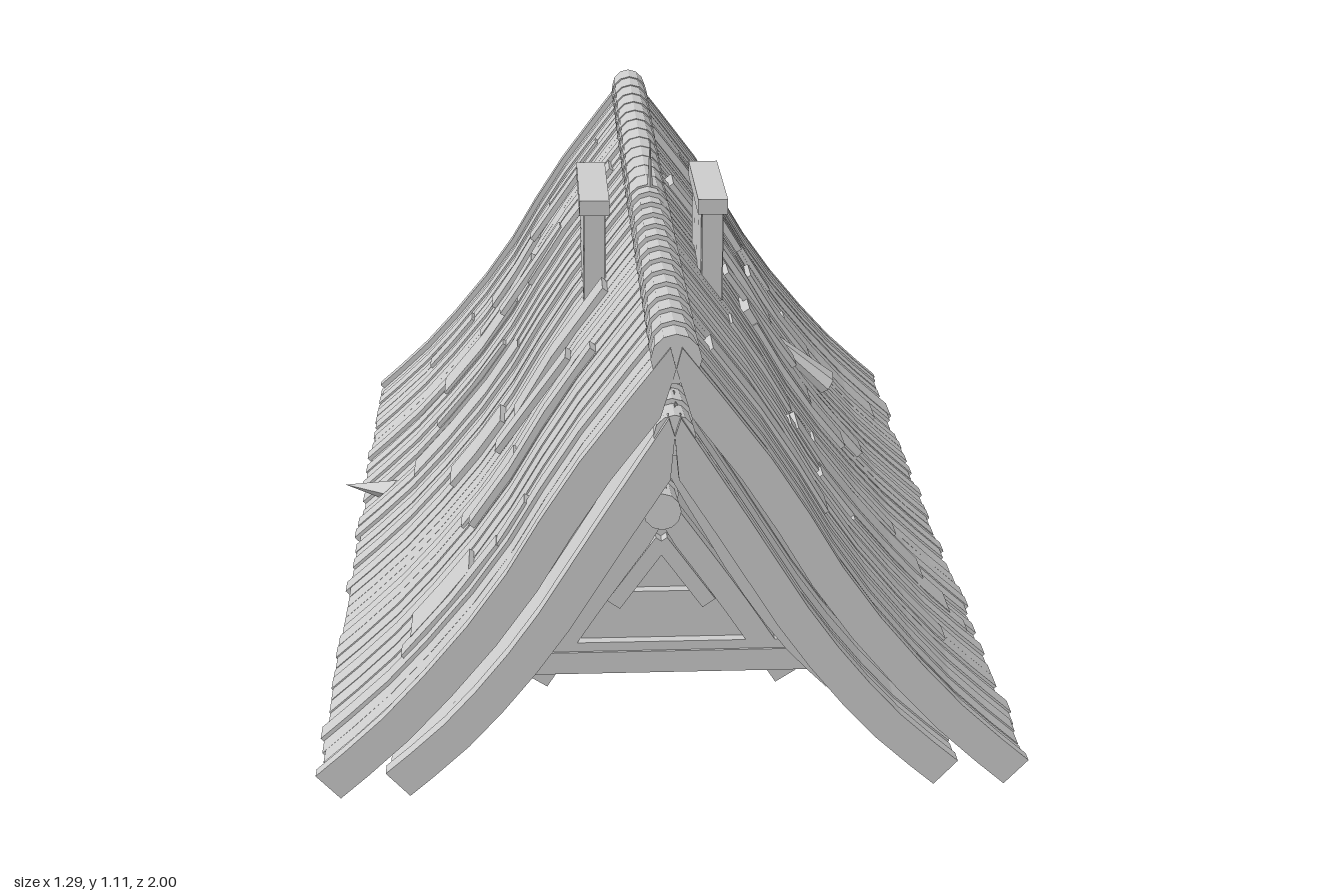
import * as THREE from 'three';
import { mergeGeometries } from 'three/addons/utils/BufferGeometryUtils.js';

const mat = new THREE.MeshStandardMaterial({ color: 0xcccccc, flatShading: true, side: THREE.DoubleSide });

let seed = 7;
const rnd = (a = 0, b = 1) => {
  seed = (seed * 16807) % 2147483647;
  return a + (b - a) * (seed / 2147483647);
};

// outer slope curves, ridge to eave, for the three nested roofs
const OUTER = [[0, 1.0], [0.17, 0.775], [0.31, 0.55], [0.48, 0.345], [0.62, 0.215]];
const MIDDLE = [[0, 0.865], [0.13, 0.66], [0.25, 0.47], [0.38, 0.31], [0.5, 0.2]];
const INNER = [[0, 0.73], [0.09, 0.58], [0.17, 0.44], [0.26, 0.31], [0.345, 0.22]];
const HUT = [[0, 0.56], [0.14, 0.36], [0.25, 0.19]];

// a bent plank: the slope curve pushed out along its normal and given thickness
function slopePlank(pts, side, top, bottom, z, width, from = 0, to = 1) {
  const curve = new THREE.SplineCurve(pts.map(p => new THREE.Vector2(...p)));
  const n = Math.max(2, Math.round(9 * (to - from)));
  const upper = [], lower = [];
  for (let i = 0; i <= n; i++) {
    const t = from + ((to - from) * i) / n;
    const p = curve.getPoint(Math.min(t, 1)), d = curve.getTangent(Math.min(t, 1));
    p.addScaledVector(d, Math.max(0, t - 1) * 0.9);
    const place = o => new THREE.Vector2(side * Math.max(0, p.x - d.y * o), p.y + d.x * o);
    upper.push(place(top));
    lower.unshift(place(bottom));
  }
  const g = new THREE.ExtrudeGeometry(new THREE.Shape([...upper, ...lower]), { depth: width, bevelEnabled: false });
  return g.translate(0, 0, z - width / 2);
}

function box(w, h, d, x, y, z, rx = 0, ry = 0, rz = 0) {
  const g = new THREE.BoxGeometry(w, h, d).toNonIndexed();
  return g.rotateX(rx).rotateY(ry).rotateZ(rz).translate(x, y, z);
}

function add(group, name, geos) {
  const mesh = new THREE.Mesh(geos.length > 1 ? mergeGeometries(geos) : geos[0], mat);
  mesh.name = name;
  group.add(mesh);
}

// row of uneven planks covering both slopes
function planks(pts, half, count, rough, thick) {
  const out = [], w = (2 * half) / count;
  for (const s of [-1, 1])
    for (let i = 0; i < count; i++) {
      const z = -half + w * (i + 0.5);
      out.push(slopePlank(pts, s, rnd(0, rough), -thick, z, w, 0, 1 + rnd(-0.015, 0.012)));
    }
  return out;
}

// pair of rafters meeting at the ridge, at each end of a roof
function rafters(pts, half, top, bottom, width) {
  const out = [];
  for (const s of [-1, 1])
    for (const e of [-1, 1]) out.push(slopePlank(pts, s, top, bottom, e * (half - width / 2), width));
  return out;
}

// overlapping, slightly tilted ridge tiles with a sagging middle
function ridge(y, half, count, r, sag) {
  const out = [], w = (2 * half) / count;
  for (let i = 0; i < count; i++) {
    const z = -half + w * (i + 0.5);
    const g = new THREE.CylinderGeometry(r, r * 0.88, w * 1.03, 12).toNonIndexed();
    g.rotateX(Math.PI / 2 + (z < 0 ? 0.06 : -0.06));
    out.push(g.translate(0, y - sag * (1 - (z / half) ** 2), z));
  }
  return out;
}

export function createModel() {
  const model = new THREE.Group();
  model.name = 'gableRoof';

  // outer roof
  add(model, 'outerPlanks', planks(OUTER, 0.985, 44, 0.011, 0.025));
  add(model, 'outerRafters', rafters(OUTER, 1, 0.012, -0.05, 0.025));
  add(model, 'outerRidge', ridge(0.985, 0.995, 26, 0.043, 0.015));

  // a second, partial layer of split boards
  const loose = [];
  for (const s of [-1, 1])
    for (let i = 0; i < 16; i++) {
      const a = rnd(0.05, 0.6), z = rnd(-0.9, 0.9);
      loose.push(slopePlank(OUTER, s, rnd(0.013, 0.02), 0, z, rnd(0.03, 0.1), a, Math.min(0.99, a + rnd(0.15, 0.4))));
    }
  // lifted boards and one broken point at the eave
  loose.push(box(0.26, 0.012, 0.06, 0.24, 0.7, -0.07, 0, 0.05, -0.96));
  loose.push(box(0.24, 0.012, 0.05, -0.24, 0.7, -0.42, 0, 0.08, 0.96));
  loose.push(box(0.24, 0.012, 0.05, -0.24, 0.7, 0.42, 0, -0.08, 0.96));
  loose.push(box(0.2, 0.012, 0.05, -0.18, 0.79, -0.64, 0, 0.05, 0.95));
  loose.push(new THREE.ConeGeometry(0.03, 0.12, 4).toNonIndexed().rotateZ(1.4).translate(-0.6, 0.265, -0.2));
  const curl = new THREE.ConeGeometry(0.05, 0.28, 7).toNonIndexed().scale(0.5, 1, 1);
  loose.push(curl.rotateZ(0.85).translate(0.3, 0.585, -0.22));
  for (const g of loose) g.deleteAttribute('uv');
  add(model, 'looseBoards', loose);

  // middle roof, just inside the outer one
  add(model, 'middlePlanks', planks(MIDDLE, 0.95, 30, 0.008, 0.02));
  add(model, 'middleRafters', rafters(MIDDLE, 0.97, 0.012, -0.05, 0.03));
  add(model, 'middleRidge', ridge(0.835, 0.96, 24, 0.036, 0));

  // inner roof, shorter
  add(model, 'innerPlanks', planks(INNER, 0.62, 20, 0.008, 0.018));
  add(model, 'innerRafters', rafters(INNER, 0.64, 0.01, -0.045, 0.035));
  add(model, 'innerRidge', ridge(0.7, 0.63, 16, 0.034, 0));

  // small enclosed loft with gable walls and its own rafters
  const tri = new THREE.Shape([[-0.235, 0.22], [0.235, 0.22], [0, 0.55]].map(p => new THREE.Vector2(...p)));
  add(model, 'loftBody', [new THREE.ExtrudeGeometry(tri, { depth: 1.08, bevelEnabled: false }).translate(0, 0, -0.54)]);
  add(model, 'loftRafters', rafters(HUT, 0.58, 0.012, -0.035, 0.04));
  add(model, 'loftRidge', ridge(0.535, 0.59, 14, 0.036, 0));
  const trim = [];
  for (const e of [-1, 1]) {
    const z = e * 0.55;
    trim.push(box(0.38, 0.1, 0.02, 0, 0.31, z));
    for (const s of [-1, 1]) trim.push(box(0.03, 0.16, 0.03, s * 0.045, 0.4, z, 0, 0, s * 0.62));
  }
  add(model, 'loftGableTrim', trim);

  // floor frame with crossed joists under the loft
  const floor = [];
  for (const e of [-1, 1]) {
    floor.push(box(0.56, 0.045, 0.05, 0, 0.222, e * 0.56));
    floor.push(box(0.54, 0.02, 0.03, 0, 0.253, e * 0.565));
    floor.push(box(0.04, 0.04, 1.12, e * 0.255, 0.215, 0));
    floor.push(box(0.03, 0.03, 0.56, e * 0.12, 0.185, 0, 0, e * 0.45));
  }
  for (let i = -5; i <= 5; i++) floor.push(box(0.52, 0.022, 0.03, 0, 0.205, i * 0.09));
  // joist ends poking out below the frame
  for (const s of [-1, 1]) floor.push(box(0.07, 0.045, 0.7, s * 0.235, 0.175, 0, 0, 0, s * -0.75));
  add(model, 'floorFrame', floor);

  // ragged clump hanging below the floor, tapering to the ground
  const clump = [];
  for (let i = 0; i < 70; i++) {
    const t = Math.sqrt(rnd()), y = 0.06 + 0.13 * t, r = 0.035 + 0.075 * t;
    const g = new THREE.BoxGeometry(rnd(0.02, 0.05), rnd(0.015, 0.04), 0.006).toNonIndexed();
    g.rotateX(rnd(-1, 1)).rotateY(rnd(0, 3)).rotateZ(rnd(0, 3));
    clump.push(g.translate(rnd(-r, r), y, rnd(-0.35, 0.35) * r));
  }
  for (let i = 0; i < 16; i++) {
    const y = rnd(0.013, 0.08);
    clump.push(box(0.018, 0.016, 0.006, rnd(-1, 1) * (0.03 + 0.6 * y), y, rnd(-0.015, 0.015), 0.3, rnd(0, 3), rnd(-0.4, 0.4)));
  }
  clump.push(box(0.02, 0.02, 0.006, 0, 0.012, 0, 0, 0, 0.2));
  add(model, 'hangingClump', clump);

  // upright vent screens either side of the ridge
  for (const s of [-1, 1]) {
    const parts = [box(0.058, 0.03, 0.29, 0, 1.033, 0.11)];
    for (const o of [-1, 1]) {
      for (let i = 0; i < 4; i++) {
        const h = 0.2 + rnd(-0.02, 0.01);
        parts.push(box(0.01, h, 0.064, o * 0.017, 1.03 - h / 2, 0.013 + i * 0.065));
      }
      parts.push(box(0.04, 0.21, 0.02, 0, 0.925, 0.11 + o * 0.125));
    }
    const vent = new THREE.Group();
    vent.name = s > 0 ? 'leftVent' : 'rightVent';
    add(vent, 'ventScreen', parts);
    vent.position.x = s * 0.115;
    model.add(vent);
  }

  // ridge spike
  add(model, 'ridgeSpike', [new THREE.ConeGeometry(0.008, 0.13, 6).translate(0.005, 1.045, 0)]);
  return model;
}
